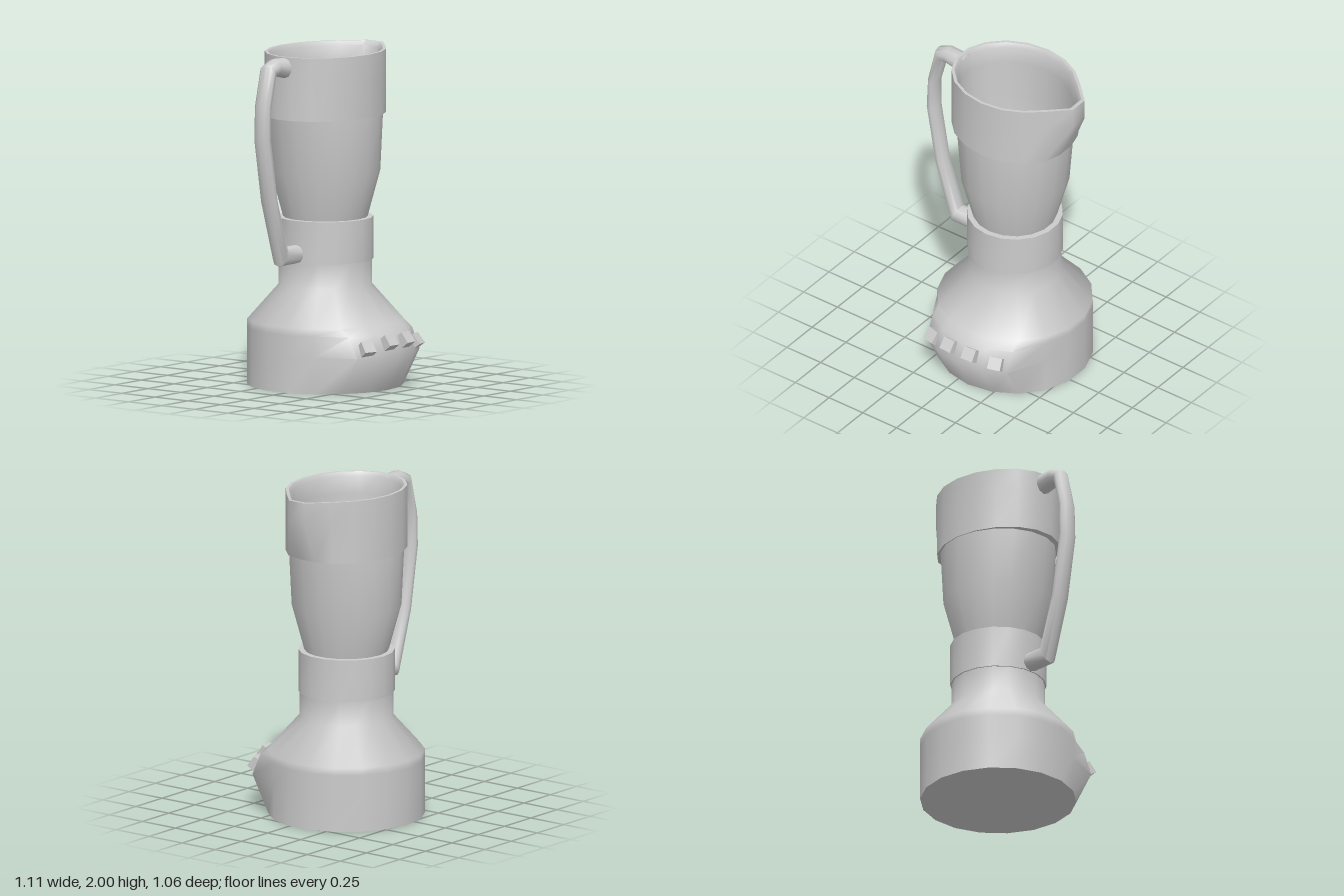
import * as THREE from 'three';
import { toCreasedNormals } from 'three/addons/utils/BufferGeometryUtils.js';

const CX = 0.08, CZ = -0.065, SIDES = 18;
const RAD = Math.PI / 180;
const material = new THREE.MeshStandardMaterial({ color: 0xcccccc });

// Skin a list of closed rings (arrays of Vector3)
function loft(name, rings, crease = 0.9) {
  const n = rings[0].length, positions = [], index = [];
  rings.forEach(r => r.forEach(p => positions.push(p.x, p.y, p.z)));
  for (let i = 0; i < rings.length - 1; i++) {
    for (let j = 0; j < n; j++) {
      const a = i * n + j, b = i * n + (j + 1) % n, c = a + n, d = b + n;
      index.push(a, c, b, b, c, d);
    }
  }
  const g = new THREE.BufferGeometry();
  g.setAttribute('position', new THREE.Float32BufferAttribute(positions, 3));
  g.setIndex(index);
  g.computeVertexNormals();
  const mesh = new THREE.Mesh(toCreasedNormals(g, crease), material);
  mesh.name = name;
  return mesh;
}

// Elliptical ring; adjust(point, j) may move single corners
function ring(y, a, b, offset = 0, adjust = () => {}) {
  return Array.from({ length: SIDES }, (_, j) => {
    const t = (j * 20 + offset) * RAD;
    const p = new THREE.Vector3(CX + a * Math.cos(t), y, CZ + b * Math.sin(t));
    adjust(p, j);
    return p;
  });
}

// Motor base: round body whose front corners swell into a control panel
function createBase() {
  const swell = [0.105, 0.11, 0.12];
  const rows = [ // y, radius, panel amount
    [0, 0.001, 0], [0, 0.465, 0], [0.22, 0.465, 1], [0.345, 0.465, 0.52],
    [0.39, 0.465, 0], [0.6, 0.278, 0], [0.76, 0.278, 0],
  ];
  return loft('motorBase', rows.map(([y, r, k]) =>
    // start at the front so that corner 0 is the middle of the panel
    ring(y, r, r, 90, (p, j) => { p.z += k * (swell[Math.min(j, SIDES - j)] || 0); })));
}

// Jug: outer wall, rim, inner wall and floor, with a spout on the +x side
function createJug() {
  const rows = [ // y, x radius, z radius, spout reach
    [0.98, 0.245, 0.245, 0], [1.28, 0.326, 0.326, 0], [1.62, 0.36, 0.33, 0],
    [1.62, 0.4, 0.335, -0.02], [1.87, 0.4, 0.335, 0.08], [2, 0.4, 0.335, 0.08],
    [2, 0.382, 0.317, 0.075], [1.975, 0.365, 0.3, 0.07],
    [1.87, 0.36, 0.3, 0.06], [1.62, 0.34, 0.3, -0.01], [1.28, 0.305, 0.305, 0],
    [1, 0.235, 0.235, 0], [0.86, 0.215, 0.215, 0], [0.82, 0.19, 0.19, 0],
    [0.82, 0.001, 0.001, 0],
  ];
  return loft('jug', rows.map(([y, a, b, s]) => ring(y, a, b, 10, (p, j) => {
    if (j === 0 || j === SIDES - 1) p.x += s;
    if (j === 1 || j === SIDES - 2) p.x += s * 0.18;
  })));
}

// Collar joining the jug to the base
function createCollar() {
  const rows = [[0.75, 0.2], [0.75, 0.286], [1.005, 0.286], [1.005, 0.235]];
  return loft('collar', rows.map(([y, r]) => ring(y, r, r, 90)));
}

// Handle: oval sections spanning pairs of outer and inner edge points
function createHandle() {
  const pairs = [ // outer x, y, inner x, y
    [-0.28, 1.995, -0.28, 1.865], [-0.41, 2, -0.405, 1.895], [-0.49, 1.965, -0.435, 1.895],
    [-0.545, 1.73, -0.484, 1.715], [-0.556, 1.52, -0.482, 1.53], [-0.49, 1.14, -0.42, 1.16],
    [-0.372, 0.75, -0.318, 0.862], [-0.18, 0.75, -0.18, 0.862],
  ];
  return loft('handle', pairs.map(([ox, oy, ix, iy]) =>
    Array.from({ length: 10 }, (_, j) => {
      const t = j * 36 * RAD, c = Math.cos(t) / 2;
      return new THREE.Vector3(
        (ox + ix) / 2 + (ox - ix) * c, (oy + iy) / 2 + (oy - iy) * c, CZ + 0.057 * Math.sin(t));
    })), 1.0);
}

export function createModel() {
  const model = new THREE.Group();
  model.name = 'blender';
  model.add(createBase(), createCollar(), createJug(), createHandle());

  // Rounded hub on the jug floor
  const hub = new THREE.Mesh(
    new THREE.SphereGeometry(0.15, 18, 8, 0, Math.PI * 2, 0, Math.PI / 2), material);
  hub.name = 'bladeHub';
  hub.position.set(CX, 0.82, CZ);
  model.add(hub);

  // Four push buttons following the curve of the panel
  const buttons = new THREE.Group();
  buttons.name = 'buttons';
  for (const side of [-1, 1]) {
    for (const [dx, y, z, yaw] of [[0.077, 0.297, 0.472, 0.06], [0.23, 0.268, 0.425, 0.28]]) {
      const button = new THREE.Mesh(new THREE.BoxGeometry(0.08, 0.075, 0.075), material);
      button.name = 'button';
      button.position.set(CX + side * dx, y, z);
      button.rotation.set(-0.65, side * yaw, 0, 'YXZ');
      buttons.add(button);
    }
  }
  model.add(buttons);
  return model;
}
